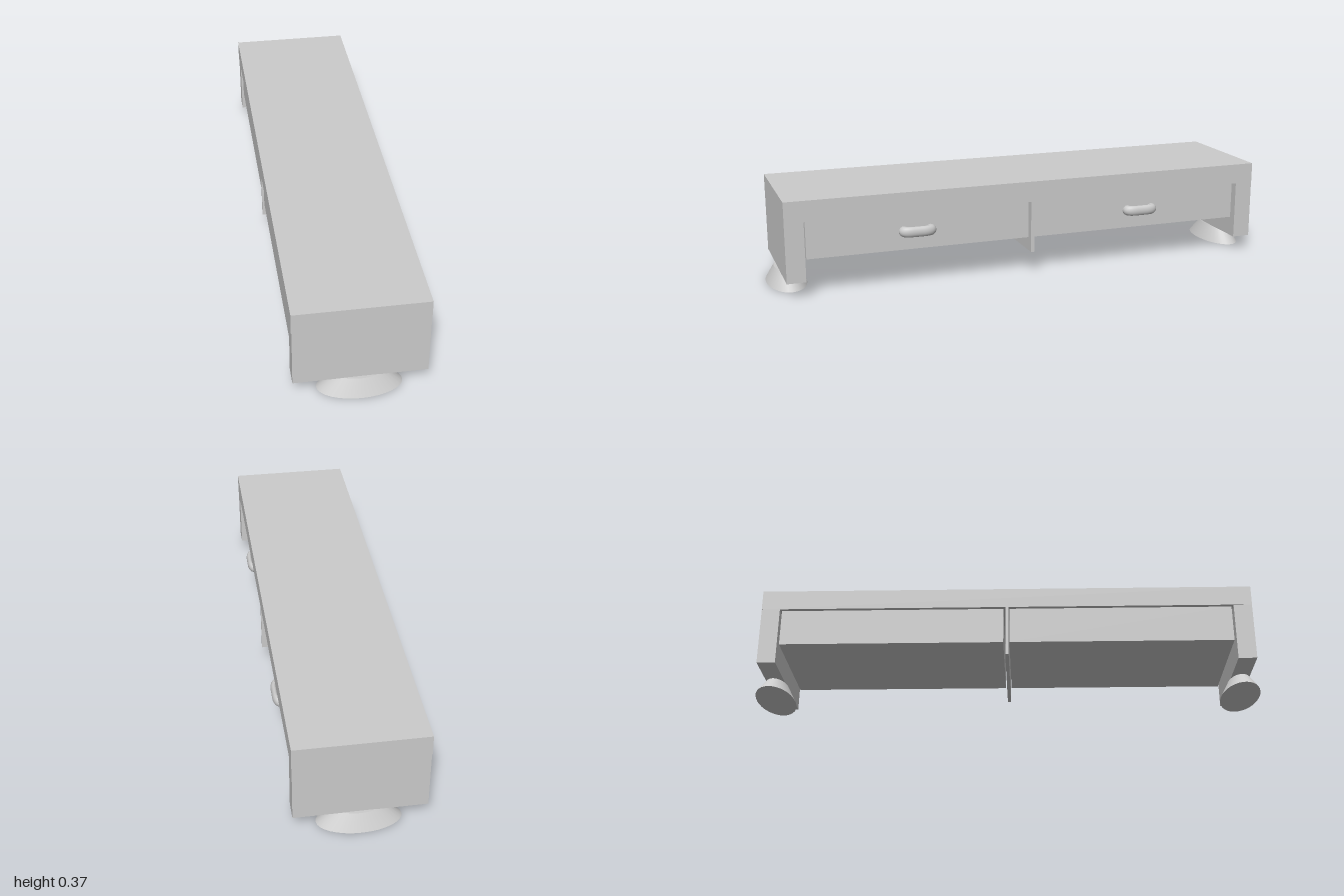
import * as THREE from 'three';

export function createModel() {
  const model = new THREE.Group();
  const material = new THREE.MeshStandardMaterial({ color: 0xcccccc });

  function add(name, geometry, x = 0, y = 0, z = 0) {
    const mesh = new THREE.Mesh(geometry, material);
    mesh.name = name;
    mesh.position.set(x, y, z);
    model.add(mesh);
    return mesh;
  }

  // box given by its extents along each axis
  function addBox(name, [x0, x1], [y0, y1], [z0, z1]) {
    return add(name, new THREE.BoxGeometry(x1 - x0, y1 - y0, z1 - z0),
      (x0 + x1) / 2, (y0 + y1) / 2, (z0 + z1) / 2);
  }

  // carcass: top slab and central divider
  addBox('topSlab', [-0.245, 0.232], [0.288, 0.367], [-0.955, 0.955]);
  addBox('divider', [-0.243, 0.231], [0.086, 0.288], [-0.002, 0.011]);

  // arched pull, flattened in depth, running along z
  const handlePath = new THREE.CurvePath();
  const v = (u, z) => new THREE.Vector3(u, 0, z);
  handlePath.add(new THREE.LineCurve3(v(-0.015, -0.052), v(0.005, -0.052)));
  handlePath.add(new THREE.QuadraticBezierCurve3(v(0.005, -0.052), v(0.035, -0.052), v(0.035, -0.02)));
  handlePath.add(new THREE.LineCurve3(v(0.035, -0.02), v(0.035, 0.02)));
  handlePath.add(new THREE.QuadraticBezierCurve3(v(0.035, 0.02), v(0.035, 0.052), v(0.005, 0.052)));
  handlePath.add(new THREE.LineCurve3(v(0.005, 0.052), v(-0.015, 0.052)));
  const handleGeometry = new THREE.TubeGeometry(handlePath, 40, 0.02, 16, false);
  handleGeometry.scale(0.6, 1, 1);

  // oval flared foot
  const footGeometry = new THREE.CylinderGeometry(0.088, 0.152, 0.062, 32);
  footGeometry.scale(1, 1, 0.5);

  for (const side of [1, -1]) {
    const end = side > 0 ? 'Front' : 'Back';
    const span = (a, b) => (side > 0 ? [a, b] : [-b, -a]);
    addBox('endPanel' + end, [-0.243, 0.231], [0.061, 0.288], span(0.884, 0.955));
    addBox('drawer' + end, [-0.235, 0.21], [0.141, 0.285], span(side > 0 ? 0.014 : 0.01, 0.877));
    add('handle' + end, handleGeometry, 0.21, 0.212, side * 0.458);
    add('foot' + end, footGeometry, -0.005, 0.031, side * 0.923);
  }

  return model;
}
